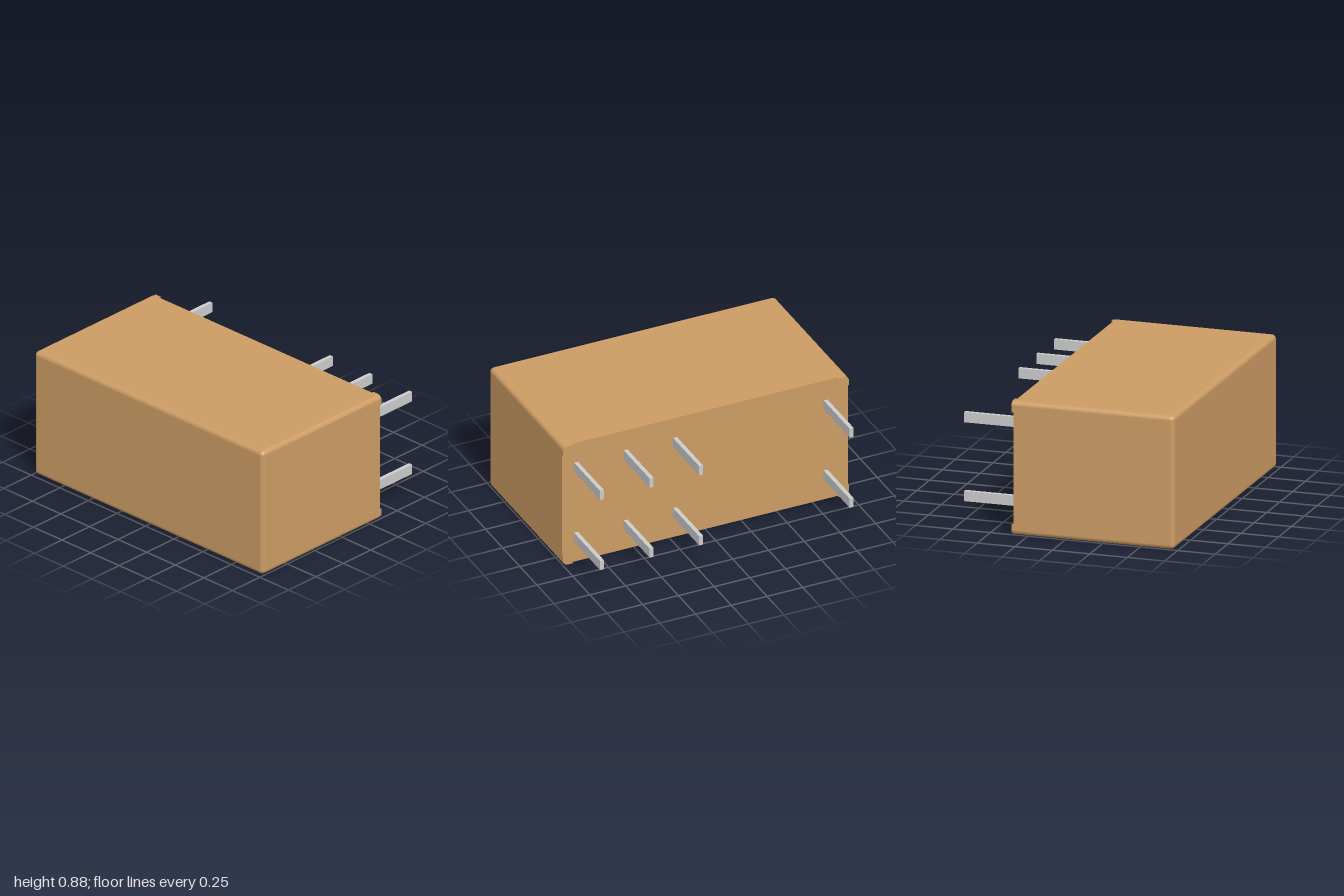
import * as THREE from 'three';
import { RoundedBoxGeometry } from 'three/addons/geometries/RoundedBoxGeometry.js';

const H = 0.875, FRONT = 0.725, BACK = -0.345, R = 0.03;

// Case: rounded box whose back rounding is flattened onto a plane
function caseGeometry() {
  const depth = FRONT - BACK + R;
  const g = new RoundedBoxGeometry(2, H, depth, 5, R);
  g.translate(0, H / 2, FRONT - depth / 2);
  const p = g.attributes.position, n = g.attributes.normal;
  for (let i = 0; i < p.count; i += 3) {
    const corners = [i, i + 1, i + 2];
    const flat = corners.every((k) => p.getZ(k) < BACK + 1e-4);
    for (const k of corners) {
      p.setZ(k, Math.max(p.getZ(k), BACK));
      if (flat) n.setXYZ(k, 0, 0, -1);
    }
  }
  return g;
}

// Triangular standoff with a rounded outer corner; sx, sy choose the corner
function standoffGeometry(sx, sy) {
  const s = 0.072;
  const shape = new THREE.Shape();
  const x = (d) => sx * (1 - d), y = (d) => sy * (H / 2 - d);
  shape.moveTo(x(s), y(0));
  shape.lineTo(x(R), y(0));
  shape.quadraticCurveTo(x(0.005), y(0.005), x(0), y(R));
  shape.lineTo(x(0), y(s));
  shape.closePath();
  const g = new THREE.ExtrudeGeometry(shape, { depth: 0.015, bevelEnabled: false, curveSegments: 6 });
  return g.translate(0, H / 2, BACK - 0.015);
}

export function createModel() {
  const group = new THREE.Group();
  const tan = new THREE.MeshStandardMaterial({ color: 0xcc9c64 });
  const grey = new THREE.MeshStandardMaterial({ color: 0xcccccc });
  const add = (name, geometry, material) => {
    const mesh = new THREE.Mesh(geometry, material);
    mesh.name = name;
    group.add(mesh);
    return mesh;
  };

  add('case', caseGeometry(), tan);

  for (const sx of [-1, 1])
    for (const sy of [-1, 1]) add('cornerStandoff', standoffGeometry(sx, sy), tan);

  // Two rows of flat contact pins
  const pin = new THREE.BoxGeometry(0.027, 0.067, 0.38);
  for (const y of [0.18, 0.698])
    for (const x of [-0.843, 0.21, 0.556, 0.903])
      add('pin', pin, grey).position.set(x, y, BACK - 0.19);

  return group;
}
